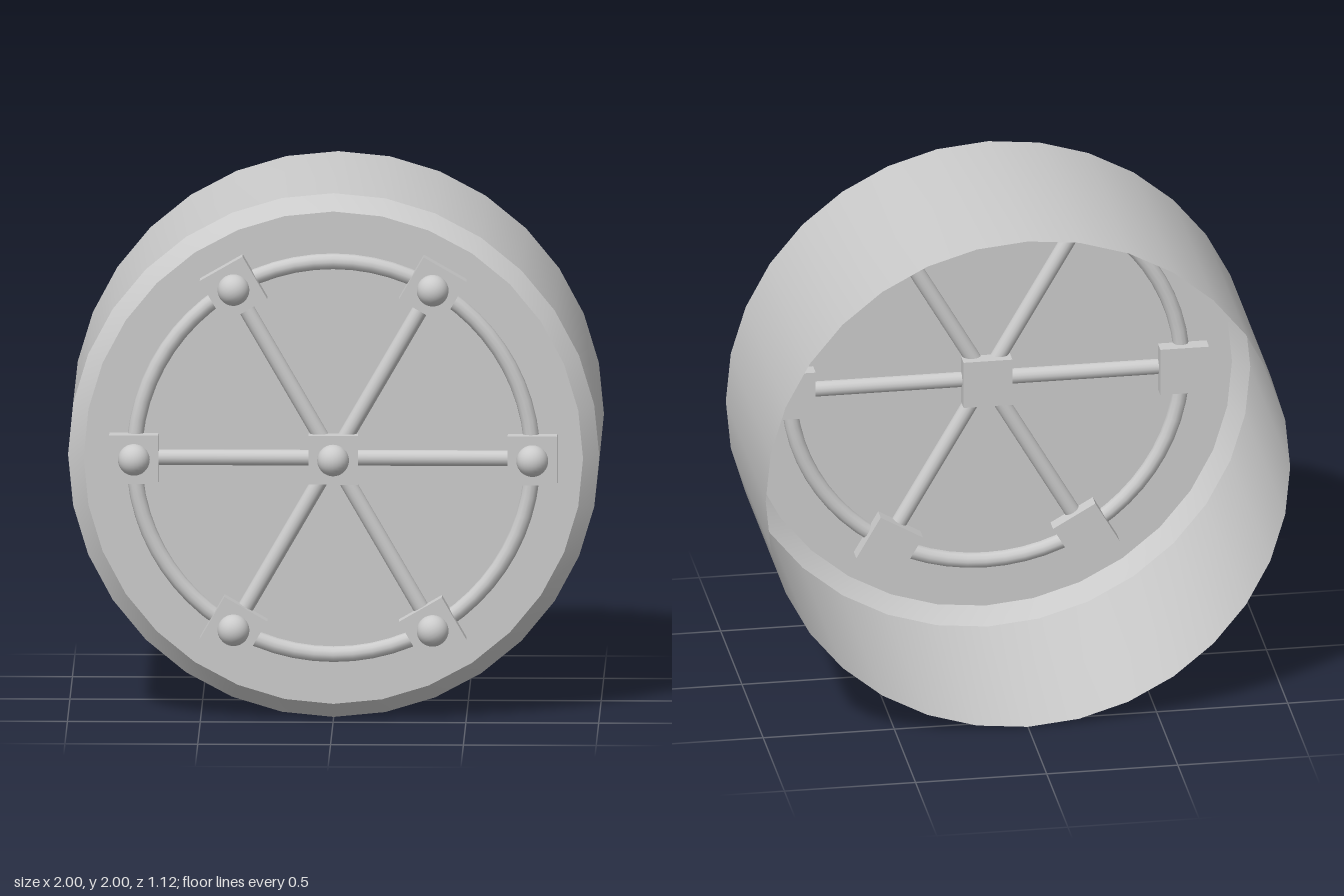
import * as THREE from 'three';
import { toCreasedNormals } from 'three/addons/utils/BufferGeometryUtils.js';

const FACE_Z = 0.44; // plane of the front plate
const RING_R = 0.75;
const ROD_R = 0.03;

export function createModel() {
  const model = new THREE.Group();
  const grey = new THREE.MeshStandardMaterial({ color: 0xcccccc });
  const shellGrey = new THREE.MeshStandardMaterial({ color: 0xcccccc, side: THREE.DoubleSide });

  const add = (parent, name, geometry, material = grey) => {
    const mesh = new THREE.Mesh(geometry, material);
    mesh.name = name;
    parent.add(mesh);
    return mesh;
  };

  // Everything is centred on the drum axis, one unit above the ground
  const drum = new THREE.Group();
  drum.name = 'drum';
  drum.position.y = 1;
  model.add(drum);

  // Thin shell: open back, straight wall, bevelled rim and flat front plate
  const profile = [[1, -0.56], [1, 0.38], [0.94, FACE_Z], [0, FACE_Z]]
    .map(([r, z]) => new THREE.Vector2(r, z));
  const shell = new THREE.LatheGeometry(profile, 32).rotateX(Math.PI / 2);
  add(drum, 'shell', toCreasedNormals(shell, 0.5), shellGrey);

  // Ring half sunk into the front plate
  add(drum, 'ring', new THREE.TorusGeometry(RING_R, ROD_R, 12, 64)).position.z = FACE_Z;

  // Square block with a round stud on its front
  const addBoss = (parent, x) => {
    const boss = new THREE.Group();
    boss.name = 'boss';
    boss.position.set(x, 0, FACE_Z);
    parent.add(boss);
    add(boss, 'block', new THREE.BoxGeometry(0.186, 0.186, 0.12));
    add(boss, 'stud', new THREE.SphereGeometry(0.06, 24, 16)).position.z = 0.06;
  };

  addBoss(drum, 0);

  // Six spokes, each ending in a boss on the ring
  for (let i = 0; i < 6; i++) {
    const arm = new THREE.Group();
    arm.name = 'arm';
    arm.rotation.z = i * Math.PI / 3;
    drum.add(arm);
    const rod = new THREE.CylinderGeometry(ROD_R, ROD_R, RING_R, 16).rotateZ(Math.PI / 2);
    add(arm, 'spoke', rod).position.set(RING_R / 2, 0, FACE_Z);
    addBoss(arm, RING_R);
  }

  return model;
}
